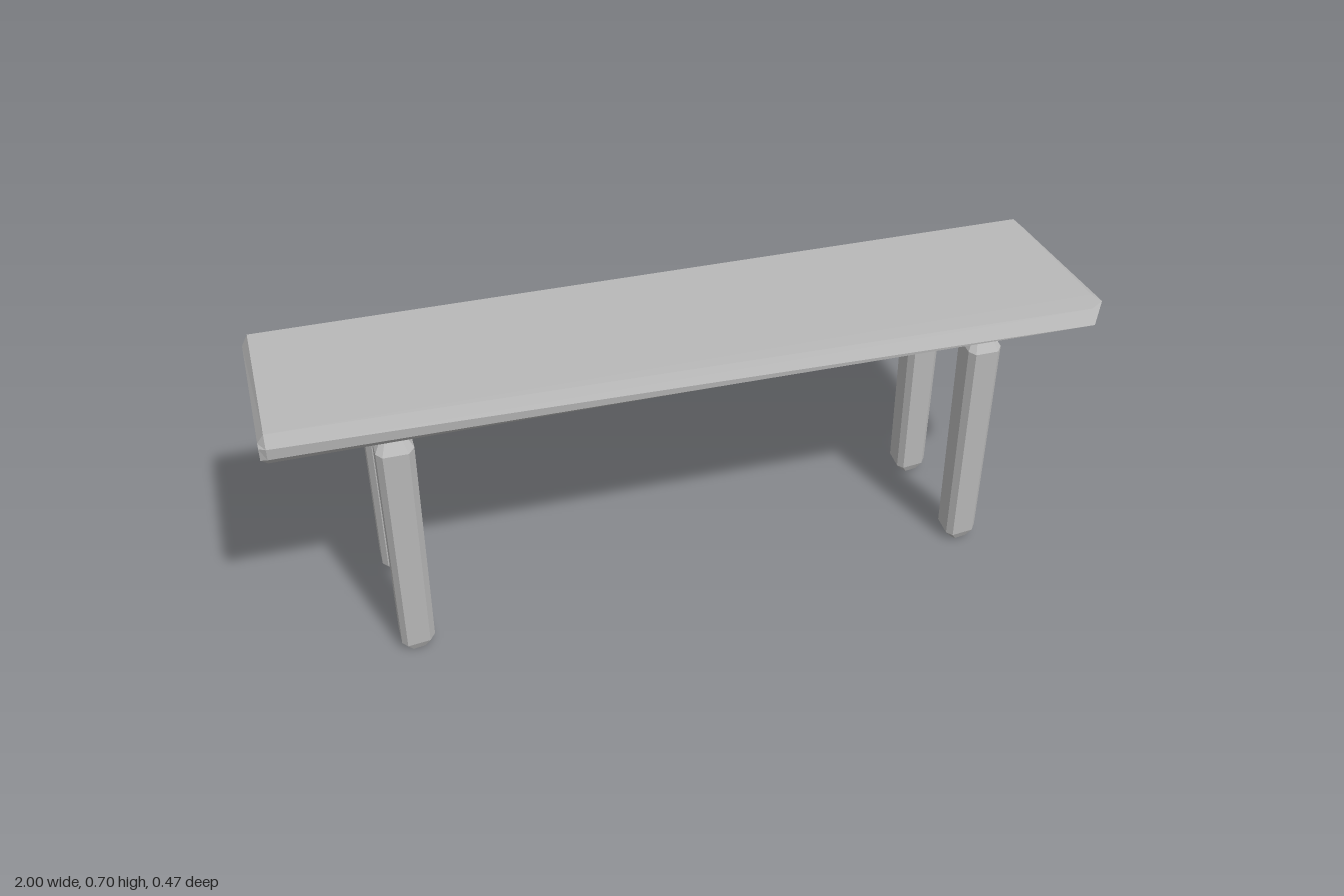
import * as THREE from 'three';

const stone = new THREE.MeshStandardMaterial({ color: 0xb8b8b8 });
stone.name = 'grey';

// Faceted solid through matching eight-point rings, closed at both ends
function loft(rings) {
  const pos = [];
  const tri = (a, b, c) => pos.push(...a, ...b, ...c);
  const n = rings[0].length;
  for (let r = 0; r < rings.length - 1; r++) {
    const lo = rings[r], hi = rings[r + 1];
    for (let i = 0; i < n; i++) {
      const j = (i + 1) % n;
      tri(lo[i], lo[j], hi[j]);
      tri(lo[i], hi[j], hi[i]);
    }
  }
  const first = rings[0], last = rings[rings.length - 1];
  for (let i = 1; i < n - 1; i++) {
    tri(first[0], first[i + 1], first[i]);
    tri(last[0], last[i], last[i + 1]);
  }
  const geo = new THREE.BufferGeometry();
  geo.setAttribute('position', new THREE.Float32BufferAttribute(pos, 3));
  geo.computeVertexNormals();
  return geo;
}

// Seat section at one x, as [z, y] pairs: top back, down the back, along the bottom, up the front
const seatRing = (x, zy) => zy.map(([z, y]) => [x, y, z]);

function makeSeat() {
  const leftCap = [[-0.205, 0.67], [-0.215, 0.662], [-0.215, 0.632], [-0.2, 0.625],
    [0.2, 0.625], [0.215, 0.632], [0.215, 0.662], [0.205, 0.67]];
  const left = [[-0.205, 0.698], [-0.233, 0.665], [-0.228, 0.625], [-0.2, 0.605],
    [0.2, 0.612], [0.225, 0.637], [0.228, 0.665], [0.212, 0.694]];
  const right = [[-0.205, 0.697], [-0.233, 0.665], [-0.23, 0.625], [-0.2, 0.601],
    [0.2, 0.609], [0.235, 0.626], [0.214, 0.66], [0.2, 0.691]];
  // The right end closes to a horizontal ridge
  const ridge = [-1, -1, -1, -1, 1, 1, 1, 1].map(s => [s > 0 ? 0.196 : -0.207, 0.665]);
  const seat = new THREE.Mesh(loft([
    seatRing(1, ridge), seatRing(0.965, right), seatRing(-0.985, left), seatRing(-1, leftCap),
  ]), stone);
  seat.name = 'seat';
  return seat;
}

// Leg: chamfered square post with bevelled foot and head
function makeLegGeometry() {
  const section = [[-0.03, 0.044], [0.028, 0.044], [0.043, 0.026], [0.043, -0.022],
    [0.026, -0.045], [-0.026, -0.045], [-0.043, -0.025], [-0.043, 0.028]];
  const ring = (y, scaleX, scaleZ, dz, tiltX, tiltZ) => section.map(([x, z]) =>
    [x * scaleX, y + x * tiltX + z * tiltZ, z * scaleZ + dz]);
  return loft([
    ring(0.003, 0.5, 0.7, -0.006, 0.07, 0),
    ring(0.03, 0.93, 0.93, -0.007, 0.1, -0.15),
    ring(0.583, 1, 1, 0, 0, -0.15),
    ring(0.607, 0.65, 0.65, -0.006, 0, -0.08),
  ]);
}

export function createModel() {
  const bench = new THREE.Group();
  bench.name = 'bench';
  bench.add(makeSeat());

  const legGeometry = makeLegGeometry();
  for (const [side, x] of [['Left', 0.702], ['Right', -0.718]]) {
    for (const [end, z] of [['front', 0.16], ['back', -0.153]]) {
      const leg = new THREE.Mesh(legGeometry, stone);
      leg.name = `${end}${side}Leg`;
      leg.position.set(x, 0, z);
      bench.add(leg);
    }
  }
  return bench;
}
